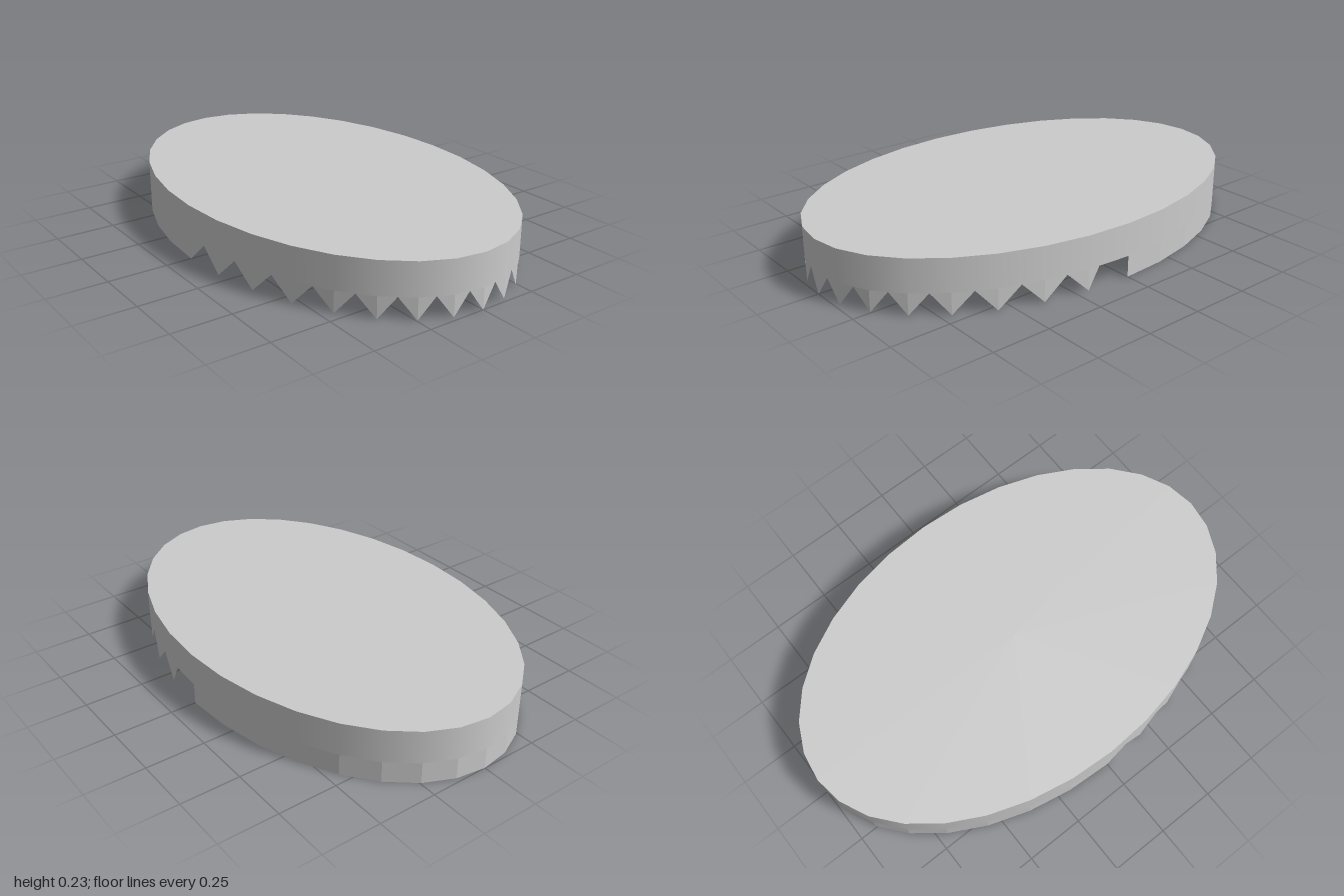
import * as THREE from 'three';

const RX = 0.64, RZ = 1, TOP = 0.23, BAND = 0.09, SIDES = 32;
const STEP = (Math.PI * 2) / SIDES;

export function createModel() {
  const group = new THREE.Group();
  const smooth = new THREE.MeshStandardMaterial({ color: 0xcccccc, side: THREE.DoubleSide });
  const flat = new THREE.MeshStandardMaterial({ color: 0xcccccc, side: THREE.DoubleSide, flatShading: true });

  const add = (name, geometry, material) => {
    const mesh = new THREE.Mesh(geometry, material);
    mesh.name = name;
    group.add(mesh);
  };

  // Flat oval top
  const cap = new THREE.CircleGeometry(1, SIDES).rotateX(-Math.PI / 2);
  add('ovalTop', cap.scale(RX, 1, RZ).translate(0, TOP, 0), smooth);

  // Thin upright rim below the top
  const rim = new THREE.CylinderGeometry(1, 1, TOP - BAND, SIDES, 1, true);
  add('rim', rim.scale(RX, 1, RZ).translate(0, (TOP + BAND) / 2, 0), smooth);

  // Plain skirt around the back half
  const skirt = new THREE.CylinderGeometry(1, 1, BAND, SIDES / 2, 1, true, Math.PI / 2, Math.PI);
  add('backSkirt', skirt.scale(RX, 1, RZ).translate(0, BAND / 2, 0), flat);

  // Pointed teeth around the front half: tips at the corners, notches between
  const point = (i, y) => new THREE.Vector3(RX * Math.sin(i * STEP), y, RZ * Math.cos(i * STEP));
  const corners = [];
  const first = -SIDES / 4, last = SIDES / 4 - 1;
  for (let i = first; i <= last; i++) {
    const a = point(i, BAND), b = point(i + 1, BAND);
    // the final half tooth is missing, leaving a wider gap
    const notch = a.clone().lerp(b, i === last ? 0.25 : 0.5);
    corners.push(a, point(i, 0), notch);
    if (i < last) corners.push(notch, point(i + 1, 0), b);
  }
  const teeth = new THREE.BufferGeometry().setFromPoints(corners);
  teeth.computeVertexNormals();
  add('frontTeeth', teeth, flat);

  return group;
}
